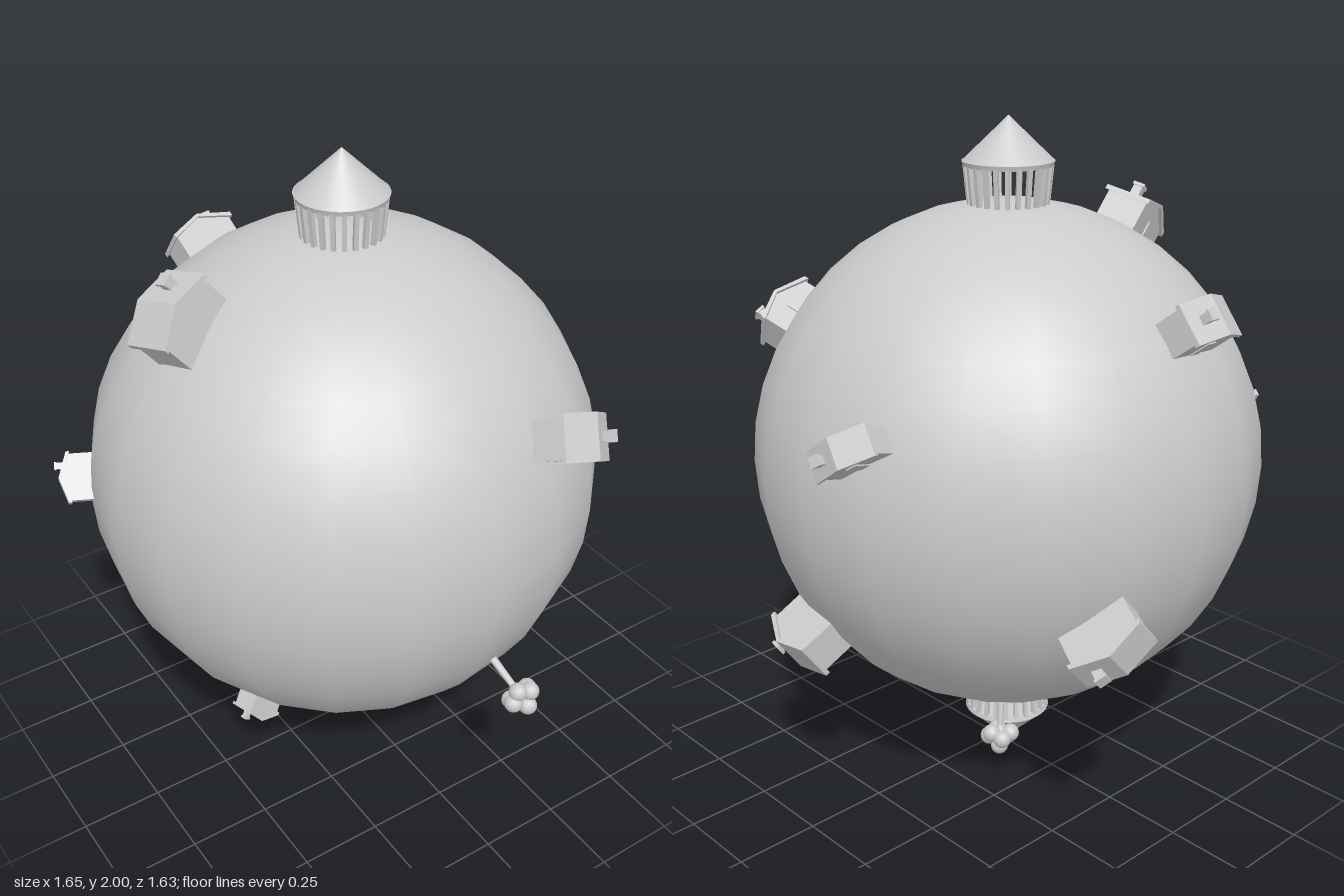
import * as THREE from 'three';

const material = new THREE.MeshStandardMaterial({ color: 0xcccccc });
const flat = new THREE.MeshStandardMaterial({ color: 0xcccccc, flatShading: true });
const R = 0.762;

function add(parent, name, geometry, mat = flat, x = 0, y = 0, z = 0) {
  const mesh = new THREE.Mesh(geometry, mat);
  mesh.name = name;
  mesh.position.set(x, y, z);
  parent.add(mesh);
  return mesh;
}

// Orients a group so its local y points away from the globe and x follows `along`.
function plant(group, out, along) {
  const n = new THREE.Vector3(...out).normalize();
  const u = new THREE.Vector3(...along).projectOnPlane(n).normalize();
  const w = new THREE.Vector3().crossVectors(u, n);
  group.quaternion.setFromRotationMatrix(new THREE.Matrix4().makeBasis(u, n, w));
  return group;
}

function extrude(points, depth) {
  const shape = new THREE.Shape(points.map(([x, y]) => new THREE.Vector2(x, y)));
  return new THREE.ExtrudeGeometry(shape, { depth, bevelEnabled: false }).translate(0, 0, -depth / 2);
}

// House with a low gable roof, a chimney and a door on one gable side
function house(length, width) {
  const g = new THREE.Group();
  g.name = 'house';
  const s = length / 0.215, a = length / 2, b = a - 0.009 * s;
  const base = R - 0.05, eave = R + 0.08 * s, peak = R + 0.127 * s, t = 0.011 * s;
  const body = [[-b, base], [b, base], [b, eave], [0, peak - t], [-b, eave]];
  add(g, 'walls', extrude(body, width - 0.018 * s));
  const roof = [[-a, eave - 0.003 * s], [0, peak - t], [a, eave - 0.003 * s],
    [a, eave + t], [0, peak], [-a, eave + t]];
  add(g, 'roof', extrude(roof, width));
  const c = 0.027 * s;
  add(g, 'chimney', new THREE.BoxGeometry(c, 0.06 * s, c), flat, a * 0.5, R + 0.11 * s, 0);
  add(g, 'chimneyCap', new THREE.BoxGeometry(c * 1.25, 0.009 * s, c * 1.25), flat, a * 0.5, R + 0.137 * s, 0);
  add(g, 'door', new THREE.BoxGeometry(0.036 * s, 0.07 * s, 0.006 * s), flat, 0, R + 0.027 * s, -width / 2 + 0.008 * s);
  return g;
}

// Tree with a thin trunk and a crown of round clumps
function tree() {
  const g = new THREE.Group();
  g.name = 'tree';
  add(g, 'trunk', new THREE.CylinderGeometry(0.009, 0.013, 0.17, 10), material, 0, R + 0.045, 0);
  const clump = new THREE.SphereGeometry(0.027, 14, 10);
  add(g, 'crownTop', clump, material, 0, R + 0.157, 0);
  add(g, 'crownCore', clump, material, 0, R + 0.118, 0);
  for (let i = 0; i < 6; i++) {
    const a = i * Math.PI / 3;
    add(g, 'crownClump', clump, material, 0.034 * Math.cos(a), R + 0.122 + (i % 2 ? 0.008 : -0.008), 0.034 * Math.sin(a));
  }
  return g;
}

// Round pavilion: ring of slightly flared columns under a conical roof
function pavilion() {
  const g = new THREE.Group();
  g.name = 'pavilion';
  const count = 24;
  for (let i = 0; i < count; i++) {
    const spoke = new THREE.Group();
    spoke.rotation.y = (i * 2 * Math.PI) / count;
    const column = add(spoke, 'column', new THREE.BoxGeometry(0.013, 0.15, 0.013), flat, 0.118, 0.8, 0);
    column.rotation.z = -0.1;
    g.add(spoke);
  }
  add(g, 'roofRim', new THREE.CylinderGeometry(0.134, 0.13, 0.014, 40), material, 0, 0.867, 0);
  add(g, 'roofCone', new THREE.ConeGeometry(0.133, 0.127, 40), material, 0, 0.9365, 0);
  return g;
}

export function createModel() {
  const model = new THREE.Group();
  model.name = 'tinyPlanet';
  const planet = new THREE.Group();
  planet.name = 'planet';
  planet.position.set(-0.017, 1, -0.027);
  model.add(planet);

  add(planet, 'globe', new THREE.SphereGeometry(R, 20, 20), material);

  // Pavilions at both poles
  const bottom = pavilion();
  bottom.rotation.x = Math.PI;
  planet.add(pavilion(), bottom);

  // Houses: outward direction, ridge-crossing direction, length, width
  const houses = [
    [[0.29, 0.34, 0.675], [0.826, -0.469, -0.312], 0.22, 0.132],
    [[-0.5, 0.62, -0.013], [0.727, 0.586, -0.364], 0.235, 0.15],
    [[0.64, -0.47, 0.177], [-0.212, 0.078, 0.971], 0.225, 0.132],
    [[0.76, 0.23, -0.2], [0.364, -0.514, 0.78], 0.2, 0.09],
    [[-0.1, 0.5, -0.65], [0.993, 0.067, -0.1], 0.21, 0.122],
    [[0.3, -0.28, -0.69], [0.637, -0.576, 0.51], 0.225, 0.112],
    [[-0.435, -0.64, 0.18], [-0.8, 0.57, 0.1], 0.13, 0.08],
    [[-0.74, 0.05, -0.29], [0.278, 0.766, -0.58], 0.15, 0.075],
  ];
  for (const [out, along, length, width] of houses) planet.add(plant(house(length, width), out, along));

  // Trees
  for (const out of [[0.097, -0.42, 0.78], [0.177, -0.85, -0.153]]) planet.add(plant(tree(), out, [1, 0, 0]));

  return model;
}
